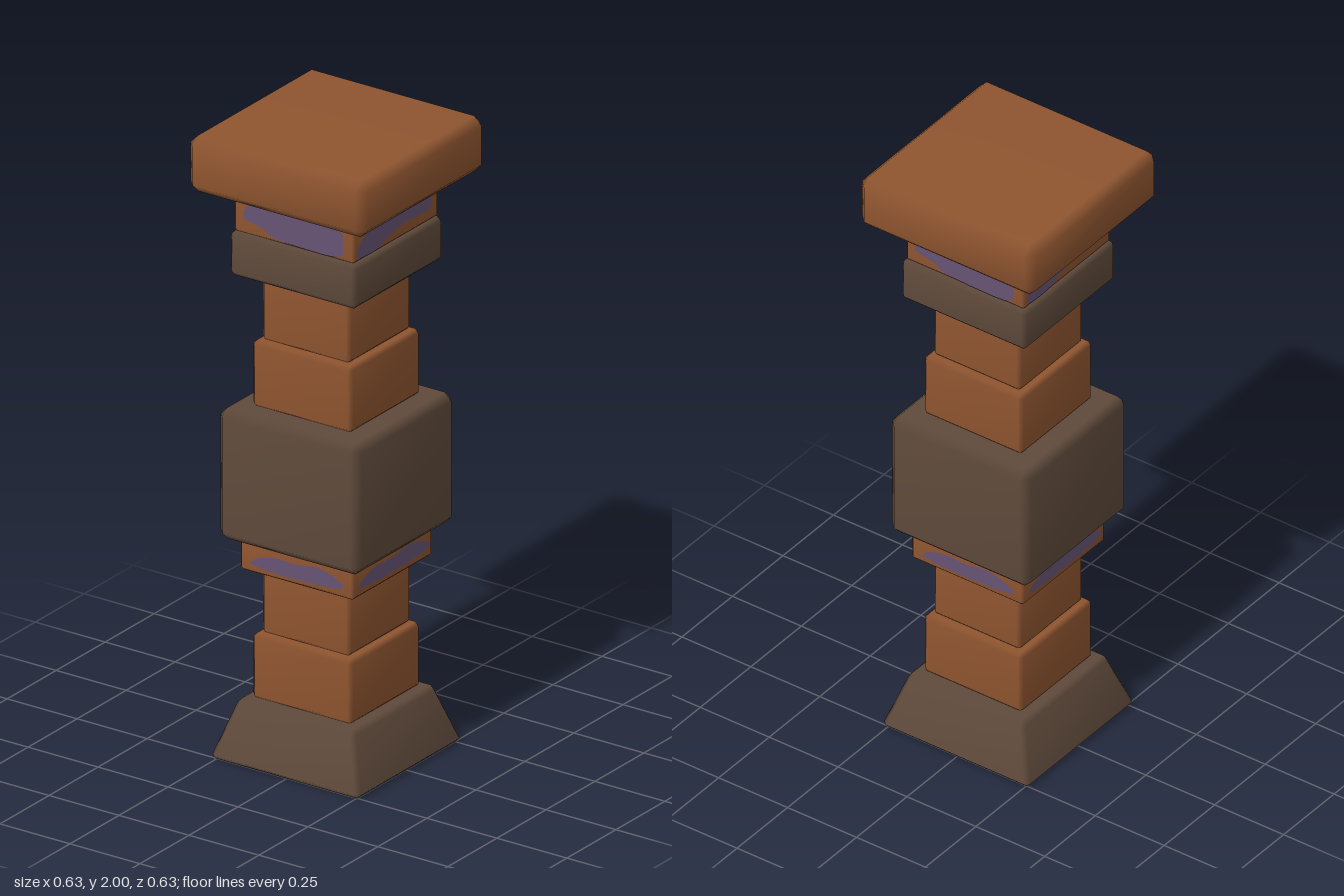
import * as THREE from 'three';
import { mergeVertices } from 'three/addons/utils/BufferGeometryUtils.js';

const material = (name, color, side = THREE.FrontSide) => {
  const m = new THREE.MeshStandardMaterial({ color, side });
  m.name = name;
  return m;
};

// Square ring with cut corners, running counter-clockwise seen from above
function ring(w, cut, y) {
  const a = w - cut;
  return [[w, a], [w, -a], [a, -w], [-a, -w], [-w, -a], [-w, a], [-a, w], [a, w]]
    .map(([x, z]) => [x, y, z]);
}

// Block with bevelled edges and softly shaded corners; may taper upwards
function bevelledBlock(bottom, top, y0, y1, c) {
  const rings = [
    ring(bottom - c, 0, y0), ring(bottom, c, y0 + c),
    ring(top, c, y1 - c), ring(top - c, 0, y1),
  ];
  const index = [];
  for (let r = 0; r < 3; r++) {
    for (let i = 0; i < 8; i++) {
      const a = r * 8 + i, b = r * 8 + (i + 1) % 8;
      index.push(a, b, b + 8, a, b + 8, a + 8);
    }
  }
  // Bottom and top caps
  index.push(0, 4, 2, 0, 6, 4, 24, 26, 28, 24, 28, 30);
  let g = new THREE.BufferGeometry();
  g.setAttribute('position', new THREE.Float32BufferAttribute(rings.flat(2), 3));
  g.setIndex(index);
  g = mergeVertices(g, 1e-4);
  g.computeVertexNormals();
  return g;
}

export function createModel() {
  const group = new THREE.Group();
  group.name = 'pillar';
  const clay = material('clay brown', 0x8f5530);
  const stone = material('dark stone', 0x5f4a3b);
  const paint = material('faded purple', 0x675474, THREE.DoubleSide);

  // Stacked blocks: name, bottom half width, top half width, y0, y1, bevel, material
  const blocks = [
    ['base', 0.265, 0.212, 0.0, 0.188, 0.014, stone],
    ['lowerShaftWide', 0.178, 0.178, 0.186, 0.394, 0.012, clay],
    ['lowerShaftNarrow', 0.158, 0.158, 0.392, 0.602, 0.012, clay],
    ['lowerBand', 0.203, 0.203, 0.602, 0.706, 0.008, clay],
    ['middleBlock', 0.253, 0.253, 0.703, 1.122, 0.025, stone],
    ['upperShaftWide', 0.178, 0.178, 1.12, 1.332, 0.012, clay],
    ['upperShaftNarrow', 0.158, 0.158, 1.33, 1.548, 0.012, clay],
    ['collar', 0.226, 0.226, 1.545, 1.688, 0.014, stone],
    ['upperBand', 0.215, 0.215, 1.686, 1.824, 0.008, clay],
    ['capital', 0.317, 0.317, 1.822, 2.0, 0.027, clay],
  ];
  for (const [name, bottom, top, y0, y1, c, mat] of blocks) {
    const mesh = new THREE.Mesh(bevelledBlock(bottom, top, y0, y1, c), mat);
    mesh.name = name;
    group.add(mesh);
  }

  // Irregular worn paint patches on all four sides of both bands
  const frontPatch = [[-0.18, 1.735], [-0.17, 1.775], [-0.12, 1.798], [0.0, 1.8], [0.08, 1.79],
    [0.16, 1.785], [0.178, 1.76], [0.165, 1.7], [0.05, 1.693], [-0.07, 1.7], [-0.11, 1.72]];
  const sidePatch = [[-0.2, 1.697], [-0.195, 1.735], [-0.14, 1.775], [-0.05, 1.797], [0.06, 1.8],
    [0.16, 1.785], [0.178, 1.76], [0.16, 1.728], [0.04, 1.73], [-0.04, 1.715], [-0.1, 1.695]];
  const lowPatch = [[-0.165, 0.63], [-0.14, 0.652], [-0.08, 0.67], [0.0, 0.668], [0.07, 0.678],
    [0.13, 0.666], [0.168, 0.645], [0.155, 0.63], [0.06, 0.622], [-0.08, 0.621]];
  const lowSidePatch = lowPatch.map(([x, y]) => [x * 1.1, y + 0.004]);

  function addPatch(name, points, distance, turn) {
    const outline = new THREE.SplineCurve([...points, points[0]].map(p => new THREE.Vector2(...p)));
    const mesh = new THREE.Mesh(new THREE.ShapeGeometry(new THREE.Shape(outline.getPoints(44))), paint);
    mesh.name = name;
    mesh.rotation.y = turn * Math.PI / 2;
    mesh.position.set(0, 0, distance + 0.002).applyAxisAngle(new THREE.Vector3(0, 1, 0), mesh.rotation.y);
    group.add(mesh);
  }
  for (let i = 0; i < 4; i++) {
    addPatch('upperPaint', i % 2 ? sidePatch : frontPatch, 0.215, i);
    addPatch('lowerPaint', i % 2 ? lowSidePatch : lowPatch, 0.203, i);
  }
  return group;
}
